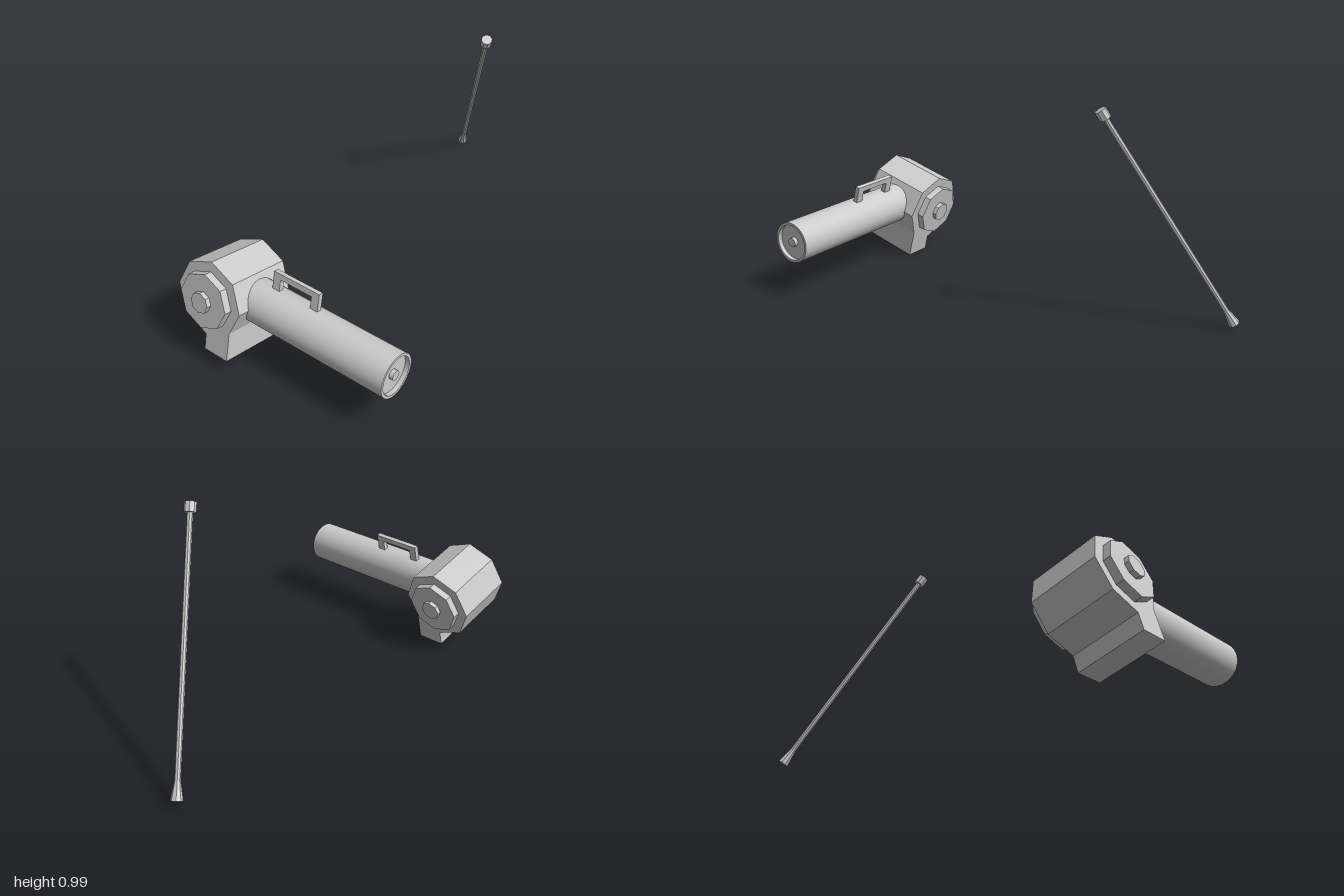
import * as THREE from 'three';
import { toCreasedNormals } from 'three/addons/utils/BufferGeometryUtils.js';

const grey = new THREE.MeshStandardMaterial({ color: 0xcccccc });
const faceted = new THREE.MeshStandardMaterial({ color: 0xcccccc, flatShading: true });

function add(parent, name, geometry, material = faceted, x = 0, y = 0, z = 0) {
  const mesh = new THREE.Mesh(geometry, material);
  mesh.name = name;
  mesh.position.set(x, y, z);
  parent.add(mesh);
  return mesh;
}

// Octagonal prism lying along x
function octagon(radius, length) {
  return new THREE.CylinderGeometry(radius, radius, length, 8).rotateZ(Math.PI / 2);
}

function createDevice() {
  const device = new THREE.Group();
  device.name = 'device';
  const drumZ = -0.335;

  // Drum housing with stepped end caps and hubs
  add(device, 'drum', octagon(0.17, 0.295), faceted, 0, 0, drumZ);
  for (const side of [-1, 1]) {
    add(device, 'drumCap', octagon(0.125, 0.04), faceted, side * 0.161, 0, drumZ);
    add(device, 'drumHub', octagon(0.046, 0.03), faceted, side * 0.186, 0, drumZ);
  }

  // Foot block under the front half of the drum
  add(device, 'foot', new THREE.BoxGeometry(0.295, 0.203, 0.125), faceted, 0, -0.1415, -0.2725);

  // Barrel with a recessed front face
  const profile = [[0, -0.3], [0.095, -0.3], [0.095, 0.505], [0.083, 0.505], [0.083, 0.485], [0, 0.485]]
    .map(([r, y]) => new THREE.Vector2(r, y));
  const barrel = new THREE.LatheGeometry(profile, 48).rotateX(Math.PI / 2);
  add(device, 'barrel', toCreasedNormals(barrel, 0.6), grey);
  const knob = new THREE.CylinderGeometry(0.021, 0.021, 0.025, 20).rotateX(Math.PI / 2);
  add(device, 'frontKnob', knob, grey, 0, 0, 0.49);

  // Carrying handle: a bar on two legs
  const handle = new THREE.Group();
  handle.name = 'handle';
  device.add(handle);
  add(handle, 'handleBar', new THREE.BoxGeometry(0.022, 0.026, 0.235), faceted, 0, 0.16, -0.0075);
  for (const z of [0.0915, -0.1065]) {
    add(handle, 'handleLeg', new THREE.BoxGeometry(0.022, 0.059, 0.037), faceted, 0, 0.1175, z);
  }

  device.position.set(-0.794, 0.276, 0);
  device.rotation.z = -Math.PI / 12;
  return device;
}

function createRod() {
  const rod = new THREE.Group();
  rod.name = 'rod';
  const foot = new THREE.Vector3(0.977, 0.027, -0.363);
  const axis = new THREE.Vector3(0.512, 0.977, 0.039).sub(foot);
  const length = axis.length();

  // Slim shaft, flared foot and a stubby cap
  add(rod, 'shaft', new THREE.CylinderGeometry(0.0125, 0.0125, length - 0.03, 8), faceted, 0, length / 2, 0);
  add(rod, 'flaredFoot', new THREE.CylinderGeometry(0.0125, 0.025, 0.075, 8), faceted, 0, 0.0375, 0);
  add(rod, 'cap', new THREE.CylinderGeometry(0.025, 0.025, 0.042, 8), faceted, 0, length - 0.021, 0);

  rod.position.copy(foot);
  rod.quaternion.setFromUnitVectors(new THREE.Vector3(0, 1, 0), axis.normalize());
  return rod;
}

export function createModel() {
  const model = new THREE.Group();
  model.name = 'model';
  model.add(createDevice(), createRod());
  return model;
}
